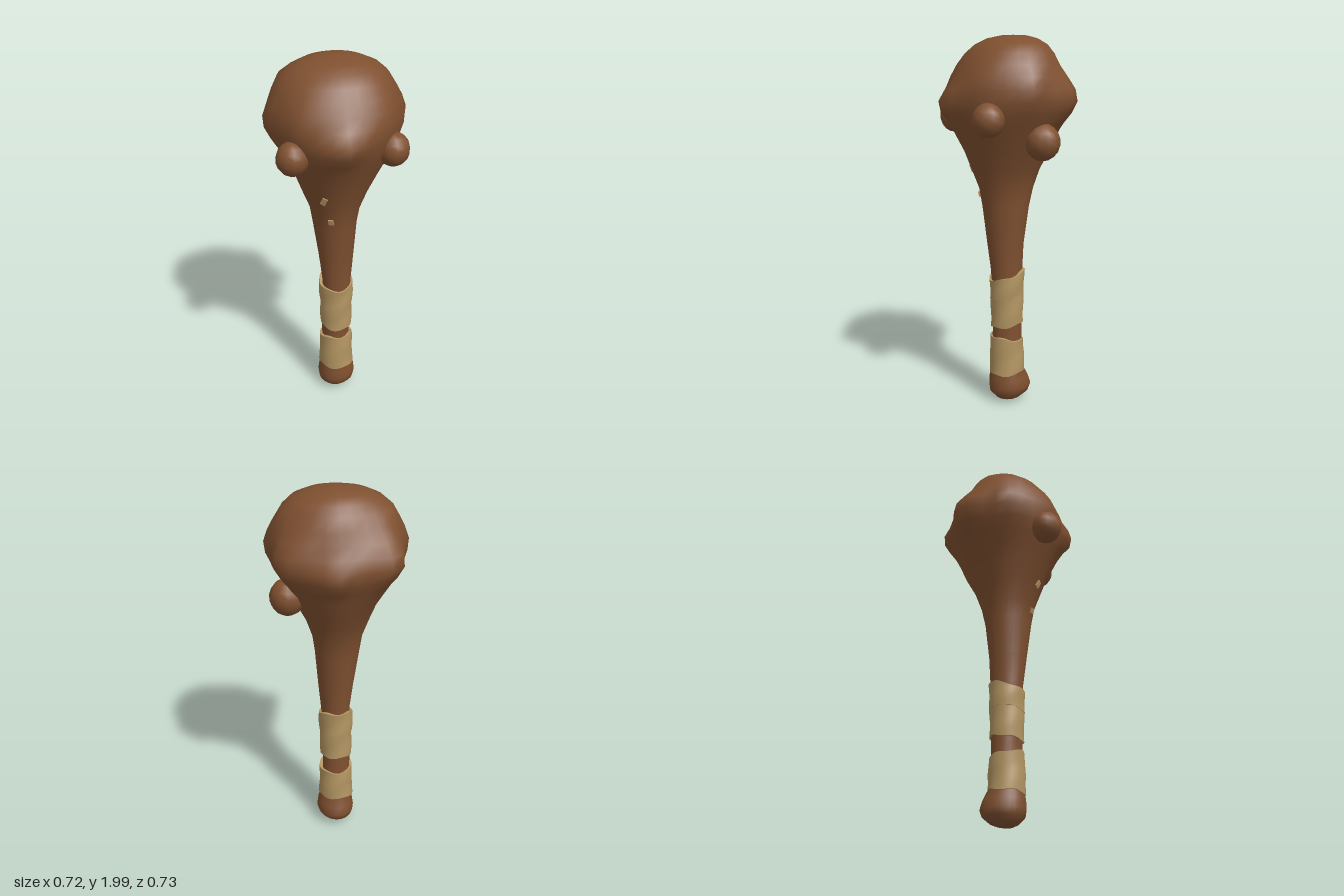
import * as THREE from 'three';
import { toCreasedNormals } from 'three/addons/utils/BufferGeometryUtils.js';

const SEG = 28;

// Skin a stack of closed rings. Each ring: [y, xMin, xMax, zMin, zMax].
// shape(point, angle) may adjust each vertex; caps close the ends.
function loft(rings, shape, caps) {
  const pos = [], idx = [], p = new THREE.Vector3();
  for (const [y, x0, x1, z0, z1] of rings) {
    for (let j = 0; j < SEG; j++) {
      const a = (j / SEG) * Math.PI * 2;
      p.set((x0 + x1) / 2 + Math.cos(a) * (x1 - x0) / 2, y, (z0 + z1) / 2 + Math.sin(a) * (z1 - z0) / 2);
      shape(p, a);
      pos.push(p.x, p.y, p.z);
    }
  }
  for (let i = 0; i < rings.length - 1; i++) {
    for (let j = 0; j < SEG; j++) {
      const k = (j + 1) % SEG, a = i * SEG + j, b = i * SEG + k;
      idx.push(a, a + SEG, b, b, a + SEG, b + SEG);
    }
  }
  if (caps) {
    const ends = [rings[0], rings[rings.length - 1]];
    ends.forEach(([y, x0, x1, z0, z1], e) => {
      const c = pos.length / 3, base = e ? (rings.length - 1) * SEG : 0;
      pos.push((x0 + x1) / 2, y + (e ? 0.004 : -0.004), (z0 + z1) / 2);
      for (let j = 0; j < SEG; j++) {
        const a = base + j, b = base + (j + 1) % SEG;
        if (e) idx.push(a, c, b); else idx.push(a, b, c);
      }
    });
  }
  const g = new THREE.BufferGeometry();
  g.setAttribute('position', new THREE.Float32BufferAttribute(pos, 3));
  g.setIndex(idx);
  g.computeVertexNormals();
  return g;
}

export function createModel() {
  const wood = new THREE.MeshStandardMaterial({ color: 0x7f5030 });
  wood.name = 'wood brown';
  const cloth = new THREE.MeshStandardMaterial({ color: 0xb39562, side: THREE.DoubleSide });
  cloth.name = 'cloth tan';
  const club = new THREE.Group();
  club.name = 'club';
  const add = (name, geometry, material) => {
    const m = new THREE.Mesh(geometry, material);
    m.name = name;
    club.add(m);
    return m;
  };

  // Shaft with pommel, flaring into the head
  const shaftRings = [
    [0.004, -0.035, 0.035, -0.05, 0.03],
    [0.018, -0.065, 0.07, -0.085, 0.06],
    [0.05, -0.095, 0.1, -0.125, 0.09],
    [0.085, -0.1, 0.11, -0.138, 0.095],
    [0.13, -0.094, 0.104, -0.125, 0.092],
    [0.18, -0.085, 0.09, -0.1, 0.082],
    [0.26, -0.075, 0.08, -0.09, 0.075],
    [0.42, -0.073, 0.077, -0.087, 0.073],
    [0.74, -0.075, 0.082, -0.088, 0.083],
    [0.9, -0.095, 0.095, -0.1, 0.1],
    [1.1, -0.12, 0.115, -0.125, 0.125],
    [1.2, -0.135, 0.13, -0.145, 0.145],
    [1.3, -0.175, 0.165, -0.18, 0.185],
    [1.4, -0.215, 0.215, -0.235, 0.225],
    [1.48, -0.255, 0.255, -0.27, 0.265],
    [1.54, -0.285, 0.285, -0.295, 0.29],
    [1.6, -0.315, 0.315, -0.315, 0.31],
    [1.66, -0.33, 0.33, -0.32, 0.31],
    [1.72, -0.33, 0.33, -0.31, 0.3],
    [1.78, -0.32, 0.32, -0.29, 0.275],
    [1.84, -0.3, 0.3, -0.26, 0.25],
    [1.9, -0.27, 0.27, -0.235, 0.21],
    [1.945, -0.22, 0.225, -0.205, 0.16],
    [1.975, -0.155, 0.155, -0.16, 0.1],
    [1.99, -0.08, 0.08, -0.11, 0.03],
  ];
  // Head swellings: [angle in degrees from +x toward +z, y, height, angular width, vertical width]
  const swellings = [
    [0, 1.72, 0.03, 16, 0.1], [180, 1.7, 0.035, 16, 0.11],
    [-45, 1.68, 0.07, 17, 0.12], [-135, 1.68, 0.075, 17, 0.12],
    [-88, 1.63, 0.055, 16, 0.07], [92, 1.64, 0.06, 17, 0.07],
    [50, 1.76, 0.02, 18, 0.09], [130, 1.76, 0.025, 18, 0.09],
    [-25, 1.87, 0.02, 18, 0.05], [205, 1.88, 0.02, 18, 0.05],
    [-80, 1.86, 0.015, 22, 0.05], [-160, 1.52, 0.015, 18, 0.06],
  ];
  add('woodenBody', loft(shaftRings, (p, a) => {
    const deg = a * 180 / Math.PI;
    let push = 0.003 * Math.sin(3 * a + p.y * 9);
    for (const [d, y, h, w, v] of swellings) {
      const da = ((deg - d + 540) % 360) - 180;
      push += h * Math.exp(-((da / w) ** 2) - ((p.y - y) / v) ** 2);
    }
    p.x += Math.cos(a) * push;
    p.z += Math.sin(a) * push;
  }, true), wood);

  // Round burls: [x, y, z, radius]
  const burls = [
    [-0.25, 1.57, 0.2, 0.083], [0.25, 1.575, 0.19, 0.083],
    [0.25, 1.46, -0.1, 0.092],
  ];
  for (const [x, y, z, r] of burls) {
    const burl = add('burl', new THREE.SphereGeometry(r, 12, 9), wood);
    burl.position.set(x, y, z);
    burl.scale.y = 1.05;
  }

  // Cloth bands: rims tilt front to back and the surface is slightly creased
  function band(name, y0, y1, tilt0, tilt1, r0, r1) {
    const rings = [];
    const ring = (y, r) => rings.push([y, -r + 0.003, r + 0.003, -r - 0.005, r - 0.005]);
    ring(y0, r0 - 0.02);
    for (let i = 0; i <= 4; i++) ring(y0 + (y1 - y0) * i / 4, r0 + (r1 - r0) * i / 4);
    ring(y1, r1 - 0.02);
    const g = loft(rings, (p, a) => {
      const t = (p.y - y0) / (y1 - y0);
      const crease = 1 + 0.025 * Math.sin(2 * a + p.y * 40);
      p.x *= crease;
      p.z *= crease;
      p.y -= Math.sin(a) * (tilt0 + (tilt1 - tilt0) * t) + 0.005 * Math.sin(4 * a + t * 2);
    }, false);
    add(name, toCreasedNormals(g, 0.8), cloth);
  }
  band('lowerWrap', 0.17, 0.365, 0.008, -0.012, 0.097, 0.091);
  band('upperWrap', 0.445, 0.62, 0.014, 0.02, 0.088, 0.09);
  band('upperWrapFold', 0.605, 0.725, 0.014, 0.027, 0.092, 0.095);

  // Small cloth scraps on the front of the shaft
  for (const [x, y, z, w, h, turn] of [[-0.092, 1.305, 0.163, 0.028, 0.045, -0.3], [-0.05, 1.163, 0.131, 0.028, 0.03, 0.2]]) {
    const scrap = add('scrap', new THREE.BoxGeometry(w, h, 0.008), cloth);
    scrap.position.set(x, y, z);
    scrap.rotation.set(0.3, -0.45, turn);
  }
  return club;
}
